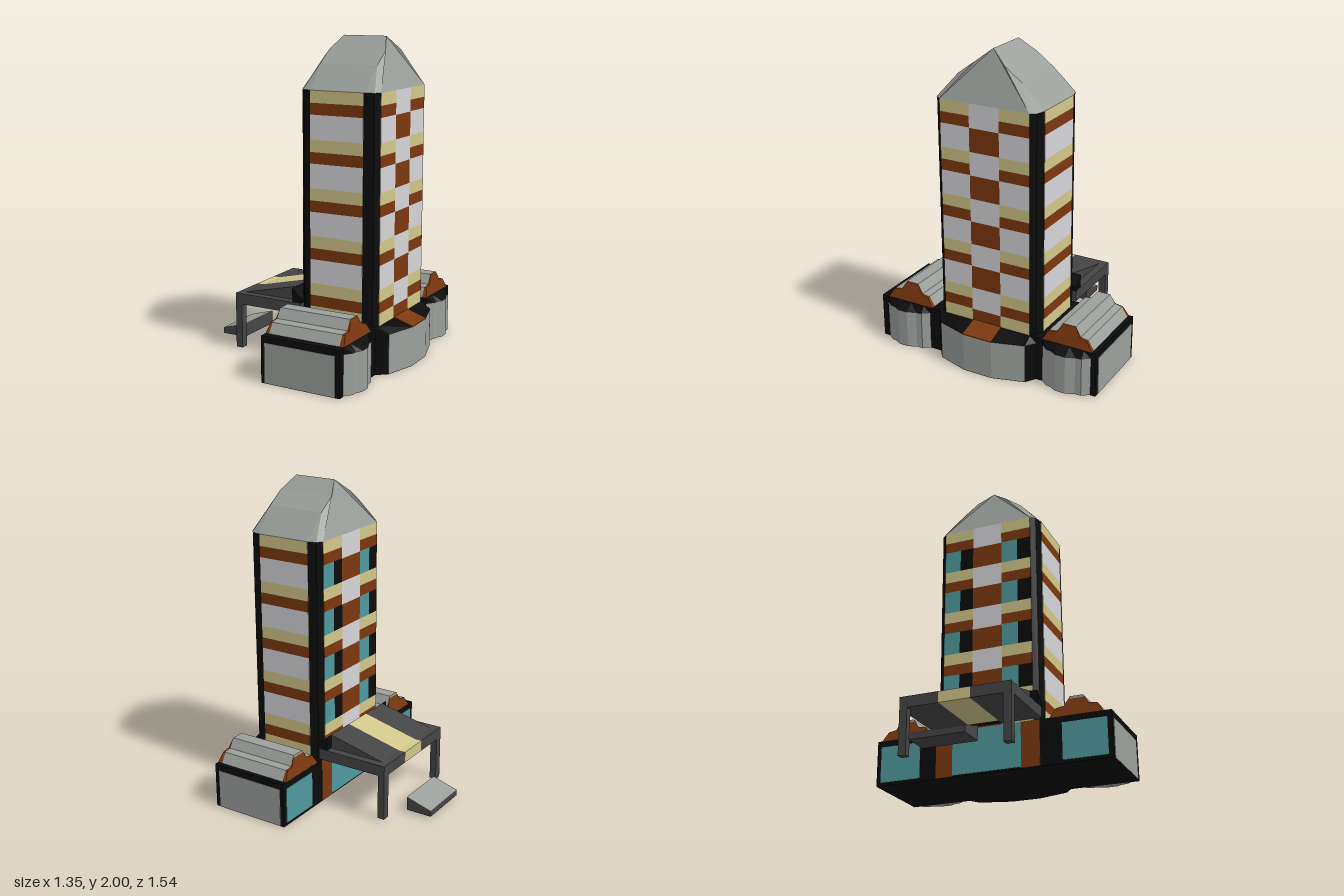
import * as THREE from 'three';

const mat = (name, color) => {
  const m = new THREE.MeshStandardMaterial({ color });
  m.name = name;
  return m;
};

export function createModel() {
  const black = mat('black', 0x0b0b0b), dark = mat('dark grey', 0x454545), grey = mat('grey', 0x9ba09c);
  const white = mat('white', 0xd6d5d9), yellow = mat('pale yellow', 0xd2c78a);
  const brown = mat('rust brown', 0x7c3810), teal = mat('teal glass', 0x4f9a9e);
  const model = new THREE.Group();
  model.name = 'towerBuilding';

  const add = (name, material, geometry, parent = model) => {
    const mesh = new THREE.Mesh(geometry, material);
    mesh.name = name;
    parent.add(mesh);
    return mesh;
  };
  const group = (name) => {
    const g = new THREE.Group();
    g.name = name;
    model.add(g);
    return g;
  };
  const box = (name, m, [x0, x1], [y0, y1], [z0, z1], parent) => {
    const g = new THREE.BoxGeometry(x1 - x0, y1 - y0, z1 - z0);
    g.translate((x0 + x1) / 2, (y0 + y1) / 2, (z0 + z1) / 2);
    return add(name, m, g, parent);
  };
  const extrude = (pts, depth) => new THREE.ExtrudeGeometry(
    new THREE.Shape(pts.map(([a, b]) => new THREE.Vector2(a, b))), { depth, bevelEnabled: false });
  // plan outline [x, z] raised from y0 to y1
  const prismY = (pts, y0, y1) =>
    extrude(pts.map(([x, z]) => [x, -z]), y1 - y0).rotateX(-Math.PI / 2).translate(0, y0, 0);
  // outline [x, y] run from z0 to z1
  const prismZ = (pts, z0, z1) => extrude(pts, z1 - z0).translate(0, 0, z0);
  // outline [z, y] run from x0 to x1
  const prismX = (pts, x0, x1) =>
    extrude(pts.map(([z, y]) => [-z, y]), x1 - x0).rotateY(Math.PI / 2).translate(x0, 0, 0);
  const moveX = (g, rule) => {
    const p = g.attributes.position;
    for (let i = 0; i < p.count; i++) p.setX(i, rule(p.getX(i), p.getY(i)));
    g.computeVertexNormals();
    return g;
  };
  // bay: grey wall with a black skirt roof sloping back to the main wall
  const bay = (name, pts, wallPts = pts) => {
    add(name + 'Wall', grey, prismY(wallPts, 0.002, 0.25));
    add(name + 'Skirt', black, moveX(prismY(pts, 0.25, 0.29), (x, y) => (y > 0.28 ? Math.min(x, 0.548) : x)));
  };

  // Tower shaft with cut corners
  const X0 = 0.02, X1 = 0.545, Z0 = -0.37, Z1 = 0.33, CX = 0.2825, CZ = -0.02;
  const quarter = [[0.2595, 0.30], [0.235, 0.332], [0.18, 0.347]];
  const ring = [];
  for (const [sx, sz] of [[1, 1], [-1, 1], [-1, -1], [1, -1]]) {
    const q = sx * sz > 0 ? quarter : [...quarter].reverse();
    q.forEach(([x, z]) => ring.push([CX + sx * x, CZ + sz * z]));
  }
  add('towerShaft', black, prismY(ring, 0, 1.69));

  // Facade bands
  const facade = group('facadeBands');
  const step = 0.294, t = 0.003;
  const sides = [[X1 - t, X1], [X0, X0 + t]];
  for (let i = 0; i < 5; i++) {
    const top = 1.69 - step * i, last = i === 4;
    const bands = [
      ['yellowBand', yellow, [top - 0.075, top]],
      ['brownBand', brown, [top - 0.145, top - 0.075]],
      ['whiteBand', last ? yellow : white, [last ? 0.29 : top - step, top - 0.145]],
    ];
    for (const [name, m, y] of bands) {
      for (const z of [[Z1 - t, Z1], [Z0, Z0 + t]]) box(name, m, [0.1, 0.455], y, z, facade);
      sides.forEach((x, s) => {
        for (const [a, b] of [[-0.32, -0.12], [0.08, 0.28]]) {
          if (s === 1 && m === white) {
            // window beside a dark panel
            box('window', teal, x, y, [a, a + 0.11], facade);
            box('darkPanel', black, x, y, [a + 0.11, b], facade);
          } else box(name, m, x, y, [a, b], facade);
        }
      });
    }
    for (const x of sides) {
      box('centreWhite', white, x, [top - 0.147, top], [-0.12, 0.08], facade);
      box('centreBrown', brown, x, [last ? 0.29 : top - step, top - 0.147], [-0.12, 0.08], facade);
    }
  }

  // Faceted roof: one quarter mirrored four times
  const A = [0.2625, 0, 0.3], B = [0.238, 0, 0.335], C = [0.18, 0, 0.35], A0 = [0.2625, 0, 0], C0 = [0, 0, 0.35];
  const P = [[0.19, 0.15, 0.21], [0.19, 0.23, 0.1], [0.143, 0.31, 0]];
  const Q = P.map(([, y, z]) => [0, y, z]);
  const tris = [[C, B, P[0]], [B, A, P[0]], [A, A0, P[2]], [A, P[2], P[1]], [A, P[1], P[0]]];
  const quad = (a, b, c, d) => tris.push([a, b, c], [a, c, d]);
  quad(C0, C, P[0], Q[0]);
  quad(Q[0], P[0], P[1], Q[1]);
  quad(Q[1], P[1], P[2], Q[2]);
  const verts = [];
  for (const sx of [1, -1]) for (const sz of [1, -1]) for (const [a, b, c] of tris)
    for (const v of sx * sz > 0 ? [a, b, c] : [a, c, b])
      verts.push(CX + sx * v[0], 1.69 + v[1], CZ + sz * v[2]);
  const roof = new THREE.BufferGeometry();
  roof.setAttribute('position', new THREE.Float32BufferAttribute(verts, 3));
  roof.computeVertexNormals();
  add('towerRoof', grey, roof);

  // Ground floor block and central bay
  box('groundFloor', black, [X0, X1], [0, 0.29], [-0.768, 0.768]);
  const bayPts = [[0.61, 0.275], [0.67, 0.075], [0.67, -0.125], [0.61, -0.325]];
  bay('centralBay', [[0.53, 0.33], [0.545, 0.33], ...bayPts, [0.545, -0.37], [0.53, -0.37]],
    [[0.53, 0.275], ...bayPts, [0.53, -0.325]]);
  add('bayCorner', black, prismY([[0.54, 0.33], [0.61, 0.276], [0.54, 0.276]], 0, 0.25));
  add('bayCorner', black, prismY([[0.54, -0.37], [0.61, -0.326], [0.54, -0.326]], 0, 0.25));
  add('bayFloor', black, prismY([[0.53, 0.275], ...bayPts, [0.53, -0.325]], 0, 0.002));
  add('bayStripe', brown, prismZ([[0.545, 0.294], [0.673, 0.254], [0.673, 0.248], [0.545, 0.287]], -0.125, 0.075));

  // Side wings
  const wingOutline = [[0.53, 0.165], [0.545, 0.165], [0.58, 0.12], [0.585, 0.085], [0.607, 0.045],
    [0.607, -0.02], [0.582, -0.075], [0.58, -0.115], [0.545, -0.16], [0.53, -0.16]];
  const roofProfile = [[0.168, 0.288], [0.13, 0.35], [0.075, 0.358], [0.04, 0.417], [-0.045, 0.417],
    [-0.08, 0.358], [-0.128, 0.35], [-0.168, 0.288]];
  for (const [side, cz, rz] of [[1, 0.56, 0.55], [-1, -0.575, -0.573]]) {
    bay('wingBay', wingOutline.map(([x, z]) => [x, z + cz]));
    const prof = roofProfile.map(([z, y]) => [z + rz, y]);
    add('wingRoof', grey, prismX(prof, 0.045, 0.515));
    // sloping gable ends
    const lean = (y) => (y - 0.288) * 0.22;
    add('wingGable', brown, moveX(prismX(prof, 0.514, 0.545), (x, y) => (x > 0.53 ? 0.545 - lean(y) : x)));
    add('wingGable', brown, moveX(prismX(prof, 0.02, 0.046), (x, y) => (x < 0.03 ? 0.02 + lean(y) : x)));
    const z = 0.768 * side;
    box('wingEndPanel', grey, [0.045, 0.515], [0.003, 0.25], [z - 0.003, z + 0.003]);
    const w = side > 0 ? [0.46, 0.74] : [-0.74, -0.47];
    box('wingWindow', teal, [X0 - 0.003, X0 + 0.003], [0.02, 0.25], w);
  }

  // Entrance under the canopy
  const entry = [X0 - 0.003, X0 + 0.003];
  box('entranceGlass', teal, entry, [0.01, 0.29], [-0.25, 0.2]);
  box('entranceJamb', brown, entry, [0.003, 0.29], [-0.36, -0.25]);
  box('entranceJamb', brown, entry, [0.003, 0.29], [0.2, 0.32]);

  // Canopy: dark sides, yellow middle, black back slope
  const slope = [[-0.405, 0.37], [-0.03, 0.37], [-0.03, 0.46]];
  for (const [a, b, c, d] of [[-0.375, -0.125, -0.325, -0.125], [0.075, 0.33, 0.075, 0.28]]) {
    box('canopySlab', dark, [-0.45, 0.03], [0.3, 0.37], [a, b]);
    add('canopySlope', dark, prismZ(slope, c, d));
  }
  add('canopyStripe', yellow, prismZ([[-0.45, 0.3], [-0.03, 0.3], [-0.03, 0.46], [-0.405, 0.37], [-0.45, 0.37]], -0.125, 0.075));
  box('canopyJoint', black, [-0.03, 0.03], [0.3, 0.37], [-0.125, 0.075]);
  add('canopyBack', black, prismZ([[-0.03, 0.37], [0.035, 0.37], [0.035, 0.4], [-0.03, 0.46]], -0.375, 0.33));
  for (const z of [[-0.375, -0.325], [0.28, 0.33]]) box('canopyLeg', dark, [-0.45, -0.405], [0.012, 0.3], z);

  // Low wedge in front of the entrance
  add('wedgeBlock', dark, prismZ([[-0.675, 0.015], [-0.505, 0.015], [-0.505, 0.1], [-0.675, 0.05]], -0.19, 0.15));
  add('wedgeTop', grey, prismZ([[-0.675, 0.05], [-0.505, 0.1], [-0.505, 0.103], [-0.675, 0.053]], -0.19, 0.15));

  return model;
}
